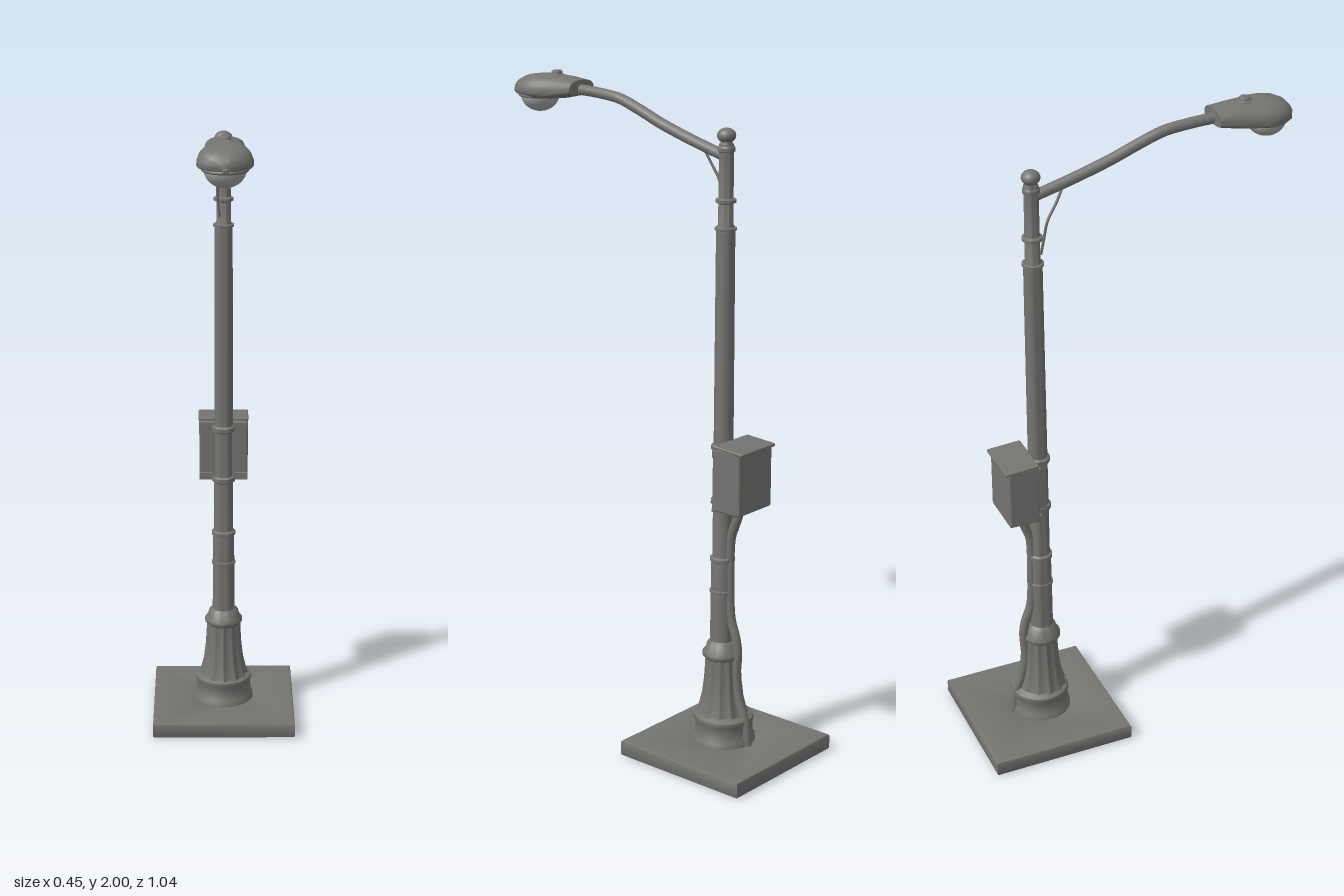
import * as THREE from 'three';
import { RoundedBoxGeometry } from 'three/addons/geometries/RoundedBoxGeometry.js';
import { toCreasedNormals } from 'three/addons/utils/BufferGeometryUtils.js';

const POLE_Z = -0.277, BASE_Z = -0.296;

export function createModel() {
  const group = new THREE.Group();
  const metal = new THREE.MeshStandardMaterial({ color: 0x757471, side: THREE.DoubleSide });
  metal.name = 'weathered grey metal';
  const glass = new THREE.MeshStandardMaterial({ color: 0xa3a3a0, side: THREE.DoubleSide });
  glass.name = 'frosted pale glass';

  const add = (name, geometry, x = 0, y = 0, z = 0, material = metal) => {
    const mesh = new THREE.Mesh(geometry, material);
    mesh.name = name;
    mesh.position.set(x, y, z);
    group.add(mesh);
    return mesh;
  };
  const lathe = (points, sides = 32) =>
    toCreasedNormals(new THREE.LatheGeometry(points.map(([r, y]) => new THREE.Vector2(r, y)), sides), 0.9);
  const tube = (points, radius, segments = 40) =>
    new THREE.TubeGeometry(new THREE.CatmullRomCurve3(points.map(p => new THREE.Vector3(...p))), segments, radius, 12);

  // Square footing with a round socket underneath
  const square = new THREE.Shape();
  const h = 0.217;
  square.moveTo(-h, -h); square.lineTo(h, -h); square.lineTo(h, h); square.lineTo(-h, h); square.closePath();
  const socket = new THREE.Path();
  socket.absarc(0, 0, 0.09, 0, Math.PI * 2, true);
  square.holes.push(socket);
  const slab = new THREE.ExtrudeGeometry(square, {
    depth: 0.036, bevelThickness: 0.007, bevelSize: 0.007, bevelSegments: 2, curveSegments: 24
  });
  slab.rotateX(-Math.PI / 2);
  add('footing', toCreasedNormals(slab, 0.6), 0, 0.007, BASE_Z);
  const cap = new THREE.CircleGeometry(0.09, 32);
  cap.rotateX(Math.PI / 2);
  add('socketCap', cap, 0, 0.046, BASE_Z);

  // Pedestal: round plinth, fluted bell and moulded collar
  add('plinth', lathe([
    [0.095, 0.045], [0.093, 0.064], [0.087, 0.072], [0.086, 0.112], [0.09, 0.118], [0.088, 0.128], [0.07, 0.137]
  ]), 0, 0, -0.289);
  const bell = new THREE.LatheGeometry([
    [0.08, 0.128], [0.073, 0.15], [0.063, 0.19], [0.057, 0.24], [0.054, 0.29], [0.053, 0.322]
  ].map(([r, y]) => new THREE.Vector2(r, y)), 96);
  const bp = bell.attributes.position;
  for (let i = 0; i < bp.count; i++) {
    const x = bp.getX(i), z = bp.getZ(i);
    const k = 1 - 0.09 * Math.pow(Math.abs(Math.sin(Math.atan2(z, x) * 6)), 0.8);
    bp.setX(i, x * k);
    bp.setZ(i, z * k);
  }
  bell.computeVertexNormals();
  add('flutedBell', bell, 0, 0, -0.283);
  add('pedestalCollar', lathe([
    [0.05, 0.308], [0.059, 0.318], [0.059, 0.328], [0.05, 0.339], [0.046, 0.355], [0.034, 0.365]
  ]), 0, 0, -0.28);

  // Stepped shaft and its slim moulded rings
  add('shaft', lathe([
    [0.035, 0.34], [0.034, 0.52], [0.033, 0.61], [0.03, 0.63], [0.029, 1.0], [0.0275, 1.6],
    [0.0275, 1.612], [0.022, 1.622], [0.021, 1.82], [0.021, 1.85]
  ], 24), 0, 0, POLE_Z);
  for (const [y, r, tall] of [
    [0.52, 0.037, 0.008], [0.62, 0.037, 0.01], [0.80, 0.036, 0.012], [0.965, 0.036, 0.012],
    [1.61, 0.032, 0.006], [1.69, 0.03, 0.008], [1.835, 0.025, 0.01]
  ]) {
    add('shaftRing', lathe([
      [r - 0.008, y - tall], [r, y - tall / 2], [r, y + tall / 2], [r - 0.008, y + tall]
    ], 24), 0, 0, POLE_Z);
  }
  add('finialNeck', lathe([[0.025, 1.84], [0.017, 1.853], [0.017, 1.862]], 24), 0, 0, POLE_Z);
  const ball = new THREE.SphereGeometry(0.027, 24, 16);
  ball.scale(1, 0.8, 1);
  add('finial', ball, 0, 1.874, POLE_Z);

  // Control cabinet on the back, with overhanging lid, side clamps and brackets
  add('cabinet', new RoundedBoxGeometry(0.152, 0.19, 0.094, 2, 0.006), 0, 0.887, -0.35);
  const lid = add('cabinetLid', new RoundedBoxGeometry(0.156, 0.01, 0.106, 2, 0.004), 0, 0.983, -0.355);
  lid.rotation.x = -0.06;
  for (const y of [0.80, 0.965])
    add('cabinetBracket', new THREE.BoxGeometry(0.15, 0.022, 0.012), 0, y, -0.302);
  for (const s of [-1, 1])
    add('clampPlate', new THREE.BoxGeometry(0.008, 0.16, 0.04), s * 0.03, 0.883, -0.285);

  // Conduit from the cabinet down to the footing
  add('conduit', tube([
    [0, 0.81, -0.34], [0, 0.77, -0.336], [0, 0.73, -0.322], [0, 0.69, -0.309], [0, 0.56, -0.306], [0, 0.44, -0.312],
    [0, 0.385, -0.33], [0, 0.34, -0.338], [0, 0.25, -0.335], [0, 0.18, -0.348], [0, 0.12, -0.37], [0, 0.045, -0.38]
  ], 0.014, 70));

  // Curved arm and the loose feed wire
  add('arm', tube([
    [0, 1.815, -0.275], [0, 1.825, -0.235], [0, 1.848, -0.15], [0, 1.882, -0.04], [0, 1.916, 0.05],
    [0, 1.939, 0.12], [0, 1.948, 0.2], [0, 1.952, 0.3]
  ], 0.016, 48));
  add('feedWire', tube([
    [-0.008, 1.825, -0.19], [-0.014, 1.788, -0.21], [-0.018, 1.74, -0.238], [-0.018, 1.69, -0.249], [-0.012, 1.64, -0.257]
  ], 0.004, 24));

  // Lamp housing lofted along z: [z, half width, rim y, top y, bottom y]
  const sections = [
    [0.272, 0.03, 1.955, 1.97, 1.945], [0.272, 0.054, 1.95, 1.98, 1.935], [0.32, 0.057, 1.942, 1.986, 1.924],
    [0.37, 0.065, 1.936, 1.988, 1.917], [0.41, 0.075, 1.934, 1.988, 1.918], [0.44, 0.077, 1.934, 1.986, 1.922],
    [0.47, 0.071, 1.934, 1.981, 1.924], [0.495, 0.053, 1.934, 1.97, 1.926], [0.508, 0.027, 1.934, 1.956, 1.928],
    [0.512, 0.002, 1.934, 1.938, 1.93]
  ];
  const N = 32, verts = [], index = [];
  for (const [z, w, rim, top, bottom] of sections) {
    for (let j = 0; j < N; j++) {
      const a = j / N * Math.PI * 2, s = Math.sin(a), c = Math.cos(a);
      const up = Math.sign(s) * Math.pow(Math.abs(s), 0.8);
      verts.push(w * Math.sign(c) * Math.pow(Math.abs(c), 0.8), rim + up * (s > 0 ? top - rim : rim - bottom), z);
    }
  }
  for (let i = 0; i < sections.length - 1; i++) {
    for (let j = 0; j < N; j++) {
      const a = i * N + j, b = i * N + (j + 1) % N;
      index.push(a, b, a + N, b, b + N, a + N);
    }
  }
  for (let j = 1; j < N - 1; j++) index.push(0, j + 1, j);
  const housing = new THREE.BufferGeometry();
  housing.setAttribute('position', new THREE.Float32BufferAttribute(verts, 3));
  housing.setIndex(index);
  housing.computeVertexNormals();
  add('lampHousing', toCreasedNormals(housing, 0.9));

  // Rim, globe, light sensor and front latch
  const rim = new THREE.TorusGeometry(0.06, 0.005, 10, 36);
  rim.rotateX(Math.PI / 2);
  add('globeRim', rim, 0, 1.923, 0.44);
  const globe = new THREE.SphereGeometry(0.058, 32, 12, 0, Math.PI * 2, Math.PI / 2, Math.PI / 2);
  globe.scale(1, 0.88, 1);
  add('globe', globe, 0, 1.924, 0.44, glass);
  add('lightSensor', lathe([
    [0.024, 1.979], [0.022, 1.988], [0.016, 1.99], [0.016, 1.997], [0.013, 2], [0, 2]
  ], 16), 0, 0, 0.37);
  add('housingLatch', new RoundedBoxGeometry(0.014, 0.012, 0.016, 2, 0.003), 0, 1.932, 0.513);
  return group;
}
